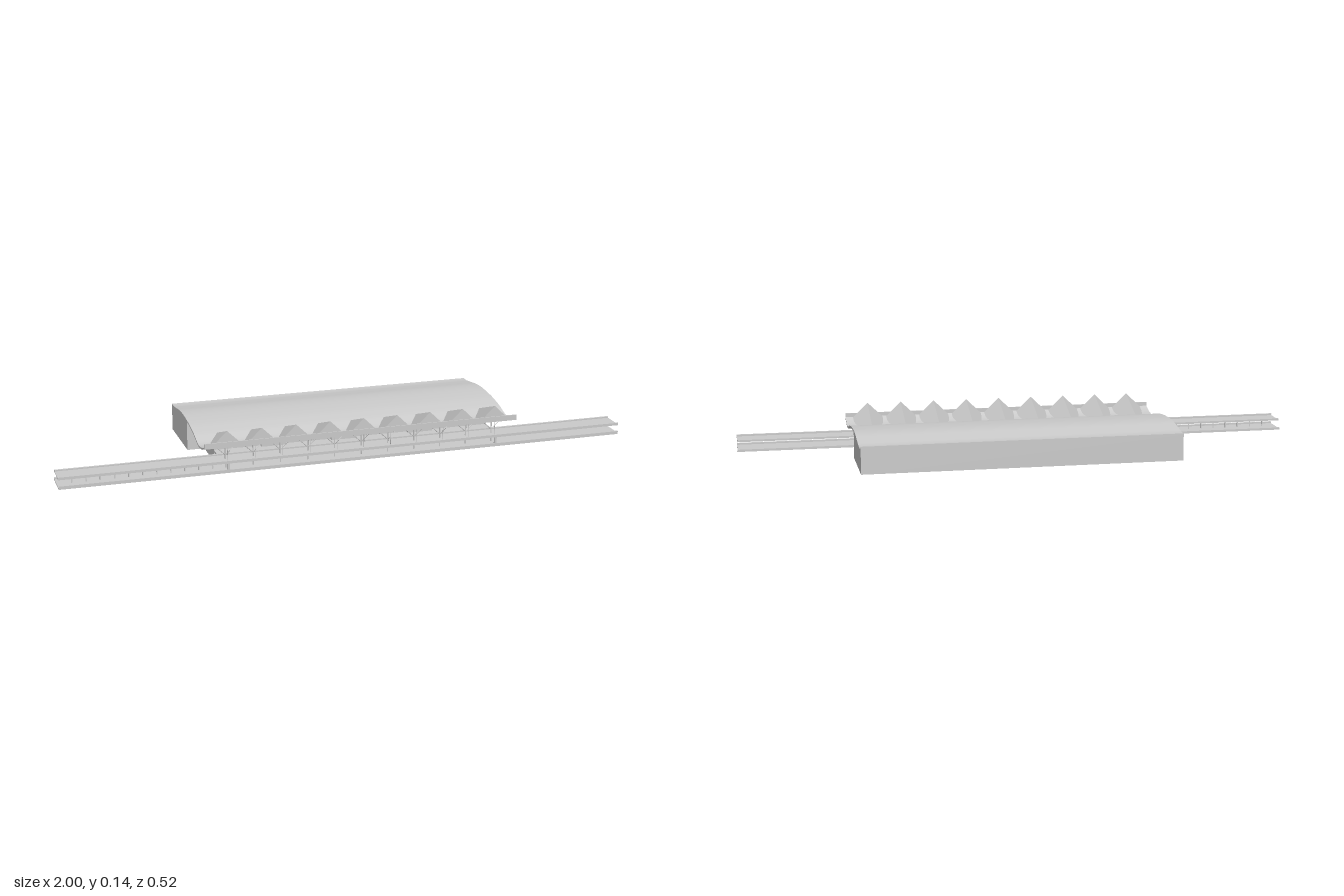
import * as THREE from 'three';
import { toCreasedNormals } from 'three/addons/utils/BufferGeometryUtils.js';

const grey = new THREE.MeshStandardMaterial({ color: 0xcccccc });
const greyThin = new THREE.MeshStandardMaterial({ color: 0xcccccc, side: THREE.DoubleSide });

const X0 = -0.51, X1 = 0.61;      // roof ends
const T = 0.006;                  // roof thickness

// Wave-shaped roof line, as (z, y)
const roofLine = new THREE.SplineCurve([
  [0.25, 0.093], [0.22, 0.083], [0.19, 0.077], [0.16, 0.076], [0.13, 0.083], [0.1, 0.092], [0.06, 0.1],
  [0.02, 0.106], [-0.03, 0.11], [-0.08, 0.112], [-0.13, 0.11], [-0.18, 0.103], [-0.23, 0.096], [-0.26, 0.096],
].map(([z, y]) => new THREE.Vector2(z, y))).getPoints(52);

function roofY(z) {
  for (let i = 1; i < roofLine.length; i++) {
    const a = roofLine[i - 1], b = roofLine[i];
    if (z >= b.x) return THREE.MathUtils.mapLinear(z, a.x, b.x, a.y, b.y);
  }
  return roofLine[roofLine.length - 1].y;
}

// Extrude a (z, y) outline along x from xa to xb
function extrudeX(points, xa, xb) {
  const g = new THREE.ExtrudeGeometry(new THREE.Shape(points), { depth: xb - xa, bevelEnabled: false });
  g.rotateY(-Math.PI / 2);
  g.translate(xb, 0, 0);
  return toCreasedNormals(g, 0.5);
}

// Side wall whose top follows the underside of the roof
function wallOutline(za, zb) {
  const top = [];
  for (let i = 0; i <= 24; i++) {
    const z = THREE.MathUtils.lerp(zb, za, i / 24);
    top.push(new THREE.Vector2(z, roofY(z) - T * 0.7));
  }
  return [new THREE.Vector2(za, 0), new THREE.Vector2(zb, 0), ...top];
}

// Gabled dormer: straight falling ridge, eaves where the slopes meet the wavy roof
function dormerGeometry() {
  const n = 20, zF = 0.245, zB = 0.1, pos = [];
  const section = (i) => {
    const z = THREE.MathUtils.lerp(zF, zB, i / n);
    const ridge = THREE.MathUtils.lerp(0.143, 0.092, i / n), y = roofY(z);
    const w = Math.max(ridge - y, 0) * 1.03;
    return { l: [-w, y, z], r: [w, y, z], t: [0, ridge, z] };
  };
  for (let i = 0; i < n; i++) {
    const a = section(i), b = section(i + 1);
    pos.push(...a.t, ...a.r, ...b.r, ...a.t, ...b.r, ...b.t);
    pos.push(...a.l, ...a.t, ...b.t, ...a.l, ...b.t, ...b.l);
  }
  const f = section(0);
  pos.push(...f.l, ...f.r, ...f.t);
  const g = new THREE.BufferGeometry();
  g.setAttribute('position', new THREE.Float32BufferAttribute(pos, 3));
  g.computeVertexNormals();
  return g;
}

export function createModel() {
  const model = new THREE.Group();

  function add(name, geometry, material = grey, parent = model) {
    const m = new THREE.Mesh(geometry, material);
    m.name = name;
    parent.add(m);
    return m;
  }
  // Box given by its limits
  function box(name, xa, xb, ya, yb, za, zb, parent = model) {
    const m = add(name, new THREE.BoxGeometry(xb - xa, yb - ya, zb - za), grey, parent);
    m.position.set((xa + xb) / 2, (ya + yb) / 2, (za + zb) / 2);
    return m;
  }
  // Round bar between two points
  function bar(name, a, b, r, parent) {
    const p = new THREE.Vector3(...a), d = new THREE.Vector3(...b).sub(p);
    const m = add(name, new THREE.CylinderGeometry(r, r, d.length(), 8), grey, parent);
    m.position.copy(p).addScaledVector(d, 0.5);
    m.quaternion.setFromUnitVectors(new THREE.Vector3(0, 1, 0), d.normalize());
  }

  // Roof and front fascia
  const under = roofLine.map((p) => new THREE.Vector2(p.x, p.y - T)).reverse();
  add('roof', extrudeX([...roofLine, ...under], X0, X1));
  box('fascia', X0, X1, 0.087, 0.106, 0.248, 0.252);

  // Row of dormers
  const dormer = dormerGeometry();
  for (let i = 0; i < 9; i++) add('dormer', dormer, greyThin).position.x = -0.43 + i * 0.12;

  // Hall walls: wide at the rear, inset at the front
  const W = 0.003, inset = 0.06, zStep = -0.015, zFront = 0.13;
  const hall = new THREE.Group();
  hall.name = 'hall';
  model.add(hall);
  const rear = wallOutline(zStep, -0.26), front = wallOutline(zFront, zStep);
  const stepTop = roofY(zStep) - T * 0.7;
  for (const [x, s] of [[X0, 1], [X1 - 0.005, -1]]) {
    const span = (x0) => [Math.min(x0, x0 + s * W), Math.max(x0, x0 + s * W)];
    const xi = x + s * inset;
    add('rearSideWall', extrudeX(rear, ...span(x)), grey, hall);
    add('frontSideWall', extrudeX(front, ...span(xi)), grey, hall);
    box('stepWall', Math.min(x, xi), Math.max(x, xi), 0, stepTop, zStep - W, zStep, hall);
  }
  box('rearWall', X0, X1 - 0.005, 0, 0.092, -0.26, -0.26 + W, hall);

  // Entrance front with window bars and door frames on two floors
  const xa = X0 + inset, xb = X1 - 0.005 - inset;
  box('frontWall', xa, xb, 0, 0.077, zFront - W, zFront, hall);
  box('lowerFloorEdge', xa, xb, 0.002, 0.011, zFront, 0.158);
  box('upperFloorEdge', xa, xb, 0.034, 0.041, zFront, 0.178);
  for (let i = 0; i <= 20; i++) {
    const x = THREE.MathUtils.lerp(xa + 0.001, xb - 0.001, i / 20);
    box('windowBar', x - 0.001, x + 0.001, 0.011, 0.077, zFront, zFront + 0.002, hall);
  }
  for (const x of [-0.24, 0.01, 0.29]) {
    for (const y of [0.011, 0.041]) {
      box('entrance', x - 0.045, x + 0.045, y, y + 0.022, zFront, 0.145, hall);
    }
  }

  // Two-level road with kerbs
  box('lowerRoad', -1, 1, 0.001, 0.005, 0.155, 0.26);
  box('lowerKerb', -1, 1, 0, 0.011, 0.254, 0.26);
  box('lowerFootway', -1, 1, 0.001, 0.009, 0.155, 0.165);
  box('upperRoad', -1, 1, 0.033, 0.036, 0.17, 0.26);
  box('upperKerb', -1, 1, 0.033, 0.042, 0.253, 0.26);
  box('upperFootway', -1, 1, 0.033, 0.04, 0.17, 0.178);
  for (const x of [-0.43, 0.53]) box('roadPier', x - 0.004, x + 0.004, 0, 0.034, 0.253, 0.26);
  for (let i = 0; i < 12; i++) {
    const x = -0.95 + i * 0.0475;
    box('roadPost', x - 0.002, x + 0.002, 0.004, 0.034, 0.213, 0.217);
  }

  // Branching columns carrying the front of the roof
  const columns = new THREE.Group();
  columns.name = 'columns';
  model.add(columns);
  for (let i = 0; i < 11; i++) {
    const x = -0.43 + i * 0.096;
    bar('column', [x, 0.003, 0.215], [x, 0.078, 0.215], 0.0025, columns);
    for (const s of [-1, 1]) bar('branch', [x, 0.05, 0.215], [x + s * 0.03, 0.078, 0.215], 0.0015, columns);
    bar('frontPost', [x, 0.035, 0.246], [x, 0.088, 0.246], 0.001, columns);
  }

  return model;
}
